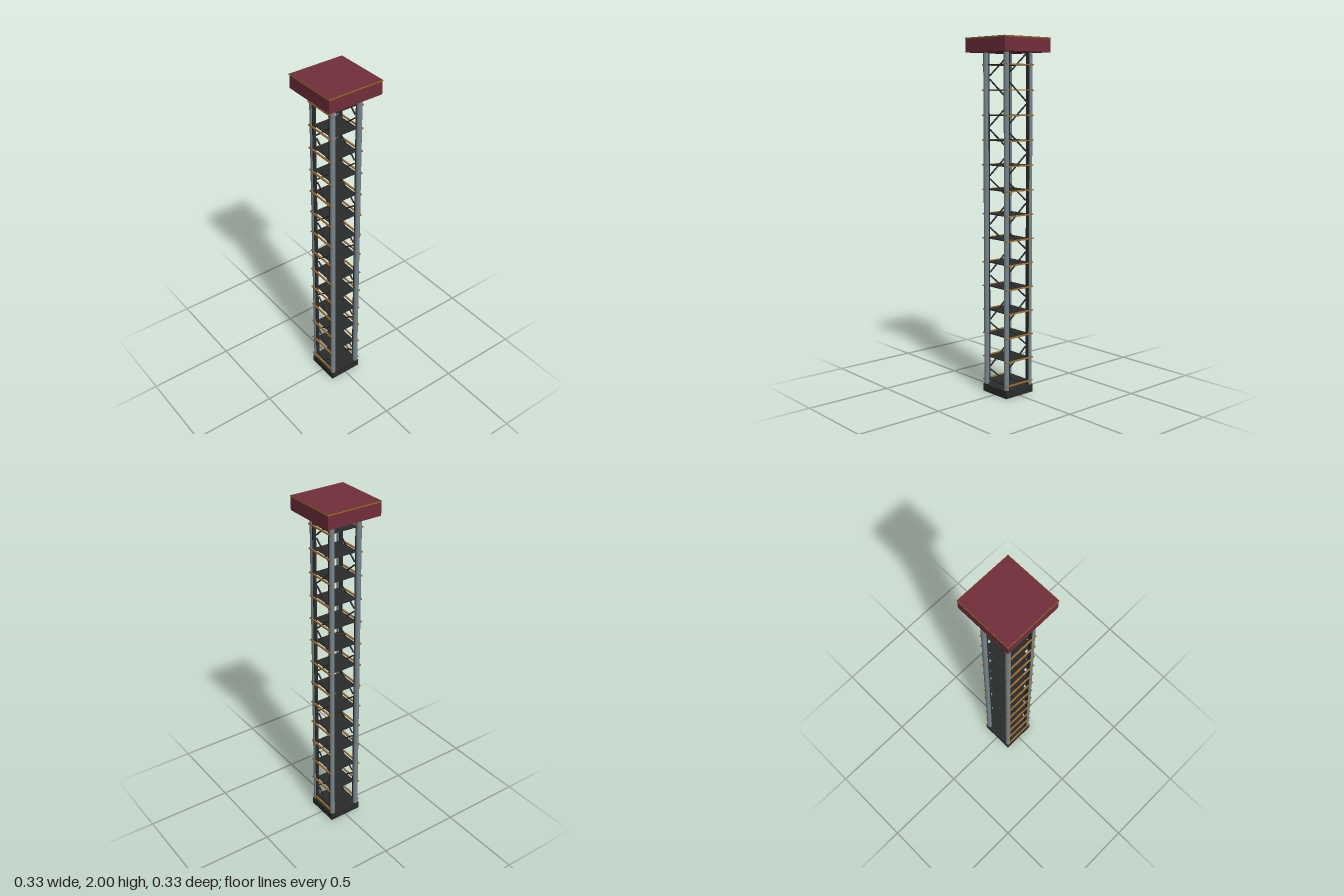
import * as THREE from 'three';

export function createModel() {
  const tower = new THREE.Group();
  tower.name = 'tower';

  const material = (name, color) => {
    const m = new THREE.MeshStandardMaterial({ color });
    m.name = name;
    return m;
  };
  const charcoal = material('charcoal', 0x2a2c2c);
  const steel = material('steel', 0x78868c);
  const copper = material('copper', 0xa06c30);
  const maroon = material('maroon', 0x722f3b);
  const gold = material('gold', 0x8f6f22);

  const add = (name, geometry, mat, x, y, z) => {
    const mesh = new THREE.Mesh(geometry, mat);
    mesh.name = name;
    mesh.position.set(x, y, z);
    tower.add(mesh);
    return mesh;
  };

  const baseTop = 0.045, capBottom = 1.92;
  const height = capBottom - baseTop, middle = (capBottom + baseTop) / 2;

  // Foundation, roof block and its thin trim
  add('base', new THREE.BoxGeometry(0.2, baseTop, 0.2), charcoal, 0, baseTop / 2, 0);
  add('roof', new THREE.BoxGeometry(0.328, 0.08, 0.328), maroon, 0, 1.96, 0);
  add('roofTrim', new THREE.BoxGeometry(0.332, 0.006, 0.332), gold, 0, 1.996, 0);

  // Corner columns with a slim dark rail on the inner side
  const column = new THREE.CylinderGeometry(0.0145, 0.0145, height, 16);
  const rail = new THREE.BoxGeometry(0.007, height, 0.02);
  for (const x of [-1, 1]) {
    for (const z of [-1, 1]) {
      add('column', column, steel, x * 0.0855, middle, z * 0.0855);
      add('columnRail', rail, charcoal, x * 0.0705, middle, z * 0.0855);
    }
  }

  // Floors, each with a front and back edge bar and a diagonal brace
  const floors = 14, firstFloor = 0.07, pitch = 0.1372;
  const floor = new THREE.BoxGeometry(0.16, 0.006, 0.16);
  const bar = new THREE.BoxGeometry(0.2, 0.007, 0.009);
  const rise = 0.118, run = 0.14;
  const brace = new THREE.BoxGeometry(Math.hypot(rise, run), 0.007, 0.006);
  for (let i = 0; i < floors; i++) {
    const y = firstFloor + i * pitch;
    add('floor', floor, charcoal, 0, y, 0);
    for (const z of [-1, 1]) {
      add('edgeBar', bar, copper, 0, y, z * 0.098);
      const diagonal = add('brace', brace, charcoal, 0, y, z * 0.071);
      diagonal.rotation.z = (i % 2 ? -1 : 1) * Math.atan2(rise, run);
    }
  }
  return tower;
}
